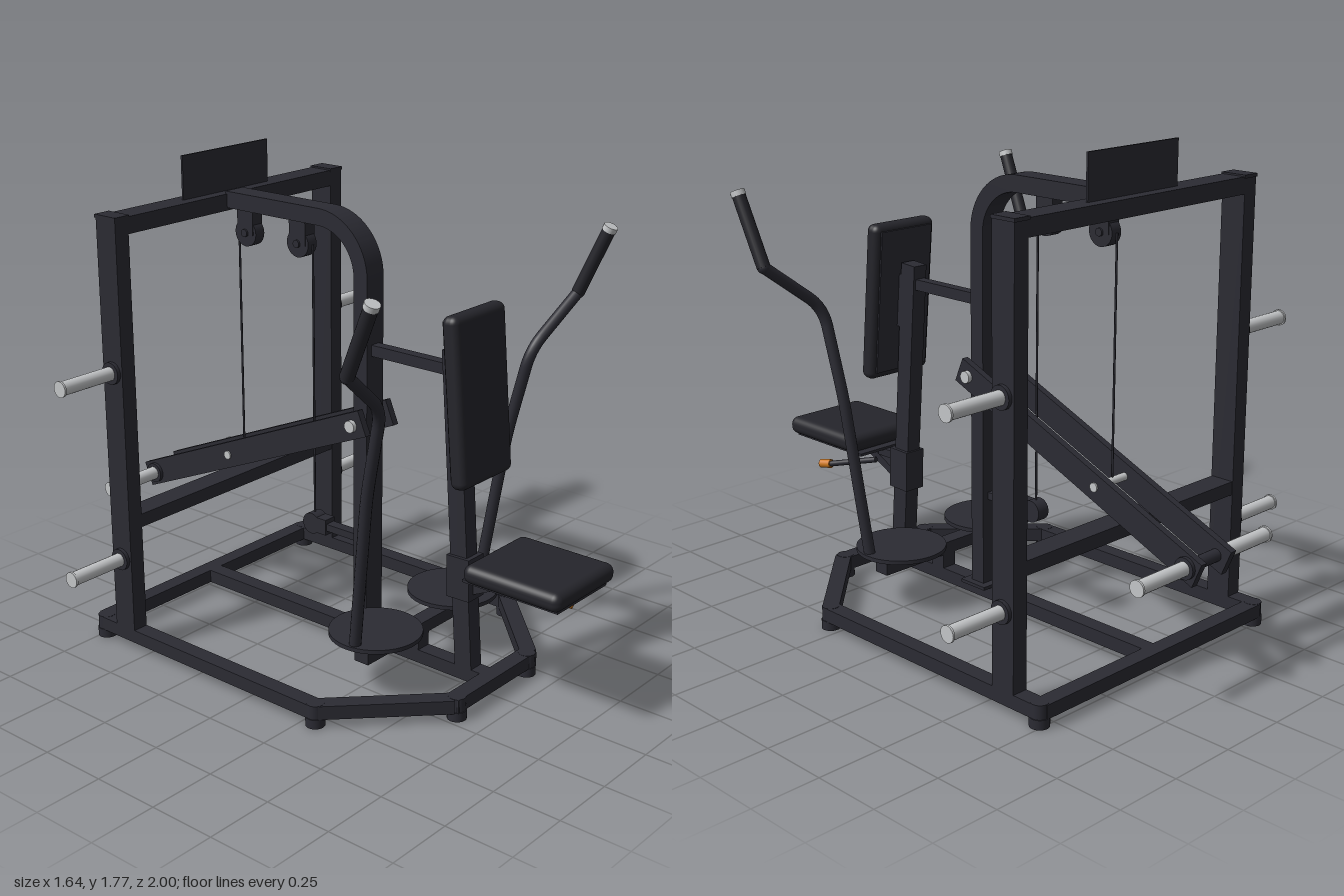
import * as THREE from 'three';
import { toCreasedNormals } from 'three/addons/utils/BufferGeometryUtils.js';
import { RoundedBoxGeometry } from 'three/addons/geometries/RoundedBoxGeometry.js';

const V = (x, y, z) => new THREE.Vector3(x, y, z);

export function createModel() {
  const root = new THREE.Group();
  root.name = 'chestPressMachine';
  const mat = (name, color) => {
    const m = new THREE.MeshStandardMaterial({ color });
    m.name = name;
    return m;
  };
  const frame = mat('frame charcoal', 0x2b2b33);
  const pad = mat('pad black', 0x25252b);
  const steel = mat('bare steel', 0xc4c6c8);
  const orange = mat('orange grip', 0xd07a20);

  const add = (name, geo, m, p = V(0, 0, 0)) => {
    const mesh = new THREE.Mesh(geo, m);
    mesh.name = name;
    mesh.position.copy(p);
    root.add(mesh);
    return mesh;
  };
  const box = (name, w, h, d, x, y, z, m = frame) =>
    add(name, new THREE.BoxGeometry(w, h, d), m, V(x, y, z));
  // Rectangular tube from a to b
  const beam = (name, a, b, w, h, m = frame) => {
    const mesh = add(name, new THREE.BoxGeometry(w, h, a.distanceTo(b)), m, a.clone().lerp(b, 0.5));
    mesh.lookAt(b);
    return mesh;
  };
  // Round bar from a to b
  const rod = (name, a, b, r, m, sides = 20) => {
    const mesh = add(name, new THREE.CylinderGeometry(r, r, a.distanceTo(b), sides), m, a.clone().lerp(b, 0.5));
    mesh.quaternion.setFromUnitVectors(V(0, 1, 0), b.clone().sub(a).normalize());
    return mesh;
  };
  const disc = (name, x, y, z, r, h, m = frame) =>
    add(name, new THREE.CylinderGeometry(r, r, h, 40), m, V(x, y, z));
  // Polyline with rounded corners
  const bentPath = (pts, r) => {
    const path = new THREE.CurvePath();
    let last = pts[0];
    for (let i = 1; i < pts.length - 1; i++) {
      const p = pts[i];
      const a = p.clone().add(pts[i - 1].clone().sub(p).setLength(r));
      const b = p.clone().add(pts[i + 1].clone().sub(p).setLength(r));
      path.add(new THREE.LineCurve3(last, a));
      path.add(new THREE.QuadraticBezierCurve3(a, p, b));
      last = b;
    }
    path.add(new THREE.LineCurve3(last, pts[pts.length - 1]));
    return path;
  };

  // Base frame
  const by = 0.058, bh = 0.05;
  box('baseRearRail', 1.1, bh, 0.06, 0, by, -0.74);
  box('baseFrontRail', 0.46, bh, 0.06, 0, by, 0.63);
  box('baseCentreRail', 0.06, bh, 1.36, 0, by, -0.055);
  for (const s of [-1, 1]) {
    beam('baseSideRail', V(s * 0.55, by, -0.74), V(s * 0.55, by, 0.3), 0.06, bh);
    beam('baseDiagonalRail', V(s * 0.55, by, 0.3), V(s * 0.22, by, 0.63), 0.06, bh);
    for (const [x, z] of [[0.55, -0.735], [0.55, 0.3], [0.205, 0.635]]) {
      disc('railCorner', s * x, by, z, 0.031, bh + 0.002);
      disc('foot', s * x, 0.017, z, 0.034, 0.034);
    }
  }

  // Rear uprights with plate storage pegs
  const peg = (name, s, x0, x1, y, z) => {
    rod(name, V(s * x0, y, z), V(s * x1, y, z), 0.025, steel);
    rod(name + 'EndLip', V(s * (x1 - 0.008), y, z), V(s * x1, y, z), 0.029, steel);
  };
  for (const s of [-1, 1]) {
    box('rearUpright', 0.06, 1.54, 0.095, s * 0.55, 0.835, -0.6);
    box('uprightCap', 0.066, 0.012, 0.102, s * 0.55, 1.61, -0.6);
    for (const y of [1.062, 0.357]) {
      rod('pegCollar', V(s * 0.575, y, -0.6), V(s * 0.594, y, -0.6), 0.04, frame);
      peg('storagePeg', s, 0.59, 0.82, y, -0.6);
    }
  }
  box('topBeam', 1.1, 0.06, 0.095, 0, 1.58, -0.6);
  box('lowerCrossBeam', 1.05, 0.05, 0.09, 0, 0.498, -0.6);
  box('signPlate', 0.432, 0.16, 0.008, 0, 1.687, -0.6);

  // Arched mast
  const arch = new THREE.Shape();
  arch.moveTo(0.1, 0.08);
  arch.lineTo(0.1, 1.4);
  arch.absarc(-0.12, 1.4, 0.22, 0, Math.PI / 2, false);
  arch.lineTo(-0.56, 1.62);
  arch.lineTo(-0.56, 1.56);
  arch.lineTo(-0.12, 1.56);
  arch.absarc(-0.12, 1.4, 0.16, Math.PI / 2, 0, true);
  arch.lineTo(0.04, 0.08);
  const archGeo = new THREE.ExtrudeGeometry(arch, { depth: 0.088, bevelEnabled: false, curveSegments: 16 });
  archGeo.rotateY(-Math.PI / 2).translate(0.044, 0, 0);
  add('archedMast', toCreasedNormals(archGeo, 0.5), frame);
  box('mastFootPlate', 0.14, 0.012, 0.12, 0, 0.089, 0.07);
  box('mastStrut', 0.04, 0.04, 0.34, 0, 1.15, 0.26);

  // Pulleys and cables
  for (const z of [-0.235, -0.485]) {
    box('pulleyBracket', 0.05, 0.1, 0.075, 0, 1.52, z);
    rod('pulleyWheel', V(-0.022, 1.475, z), V(0.022, 1.475, z), 0.05, frame, 32);
    rod('pulleyAxle', V(-0.032, 1.475, z), V(0.032, 1.475, z), 0.014, frame);
  }
  rod('frontCable', V(0, 0.45, -0.183), V(0, 1.475, -0.183), 0.004, frame, 8);
  rod('rearCable', V(0, 0.63, -0.537), V(0, 1.475, -0.537), 0.004, frame, 8);
  box('lowerPulleyArm', 0.04, 0.027, 0.16, 0, 0.43, -0.03);
  box('lowerPulleyBracket', 0.05, 0.06, 0.06, 0, 0.43, -0.14);
  rod('lowerPulleyWheel', V(-0.025, 0.43, -0.18), V(0.025, 0.43, -0.18), 0.04, frame, 32);

  // Weight lever
  for (const s of [-1, 1]) {
    beam('leverBar', V(s * 0.076, 0.905, 0.115), V(s * 0.076, 0.442, -0.978), 0.026, 0.095);
    rod('leverPivotBolt', V(s * 0.085, 0.887, 0.07), V(s * 0.105, 0.887, 0.07), 0.022, steel);
    rod('leverCableBolt', V(s * 0.085, 0.63, -0.537), V(s * 0.095, 0.63, -0.537), 0.016, steel);
    rod('leverPegCollar', V(s * 0.085, 0.46, -0.935), V(s * 0.102, 0.46, -0.935), 0.038, frame);
    peg('leverPeg', s, 0.1, 0.33, 0.46, -0.935);
  }
  rod('leverPivotShaft', V(-0.08, 0.887, 0.07), V(0.08, 0.887, 0.07), 0.02, frame);
  rod('leverCableShaft', V(-0.08, 0.63, -0.537), V(0.08, 0.63, -0.537), 0.014, steel);
  rod('leverPegShaft', V(-0.08, 0.46, -0.935), V(0.08, 0.46, -0.935), 0.022, frame);

  // Seat post and backrest
  box('seatPost', 0.06, 1.15, 0.07, 0, 0.648, 0.487).rotation.x = -0.072;
  box('backrestMount', 0.06, 0.2, 0.05, 0, 1.08, 0.49).rotation.x = -0.08;
  box('backrestPlate', 0.24, 0.54, 0.01, 0, 1.08, 0.507).rotation.x = -0.085;
  add('backrest', new RoundedBoxGeometry(0.286, 0.59, 0.064, 4, 0.026), pad, V(0, 1.08, 0.54)).rotation.x = -0.085;

  // Seat and height lever
  box('seatSleeve', 0.085, 0.155, 0.095, 0, 0.42, 0.505).rotation.x = -0.03;
  add('seat', new RoundedBoxGeometry(0.35, 0.068, 0.385, 4, 0.03), pad, V(0, 0.516, 0.807));
  box('seatPlate', 0.29, 0.01, 0.38, 0, 0.478, 0.79);
  beam('seatBrace', V(0, 0.465, 0.73), V(0, 0.365, 0.52), 0.035, 0.03);
  beam('seatArm', V(0, 0.46, 0.64), V(0, 0.46, 0.53), 0.05, 0.03);
  rod('seatLever', V(0.045, 0.43, 0.63), V(0.115, 0.382, 0.825), 0.011, frame);
  rod('seatLeverGrip', V(0.113, 0.383, 0.82), V(0.124, 0.376, 0.868), 0.017, orange);

  // Foot plates on a cross bar
  box('footPlateBar', 0.62, 0.046, 0.06, 0, 0.158, 0.3);
  box('footPlatePost', 0.06, 0.06, 0.06, 0, 0.108, 0.3);

  // Press arms with grips
  for (const s of [-1, 1]) {
    disc('footPlate', s * 0.22, 0.221, 0.29, 0.165, 0.015);
    disc('footPlateHub', s * 0.22, 0.195, 0.3, 0.034, 0.04);
    const pts = [V(0.355, 0.222, 0.31), V(0.392, 0.8, 0.39), V(0.413, 1.125, 0.465), V(0.63, 1.295, 0.51)]
      .map((p) => p.setX(p.x * s));
    add('pressArm', new THREE.TubeGeometry(bentPath(pts, 0.07), 60, 0.021, 14, false), frame);
    const knee = pts[3], tip = V(s * 0.646, 1.548, 0.622);
    const end = knee.clone().lerp(tip, 0.93);
    add('armElbow', new THREE.SphereGeometry(0.023, 16, 12), frame, knee);
    rod('pressGrip', knee, end, 0.024, pad);
    rod('gripEndCap', end, tip, 0.026, steel);
  }
  return root;
}
